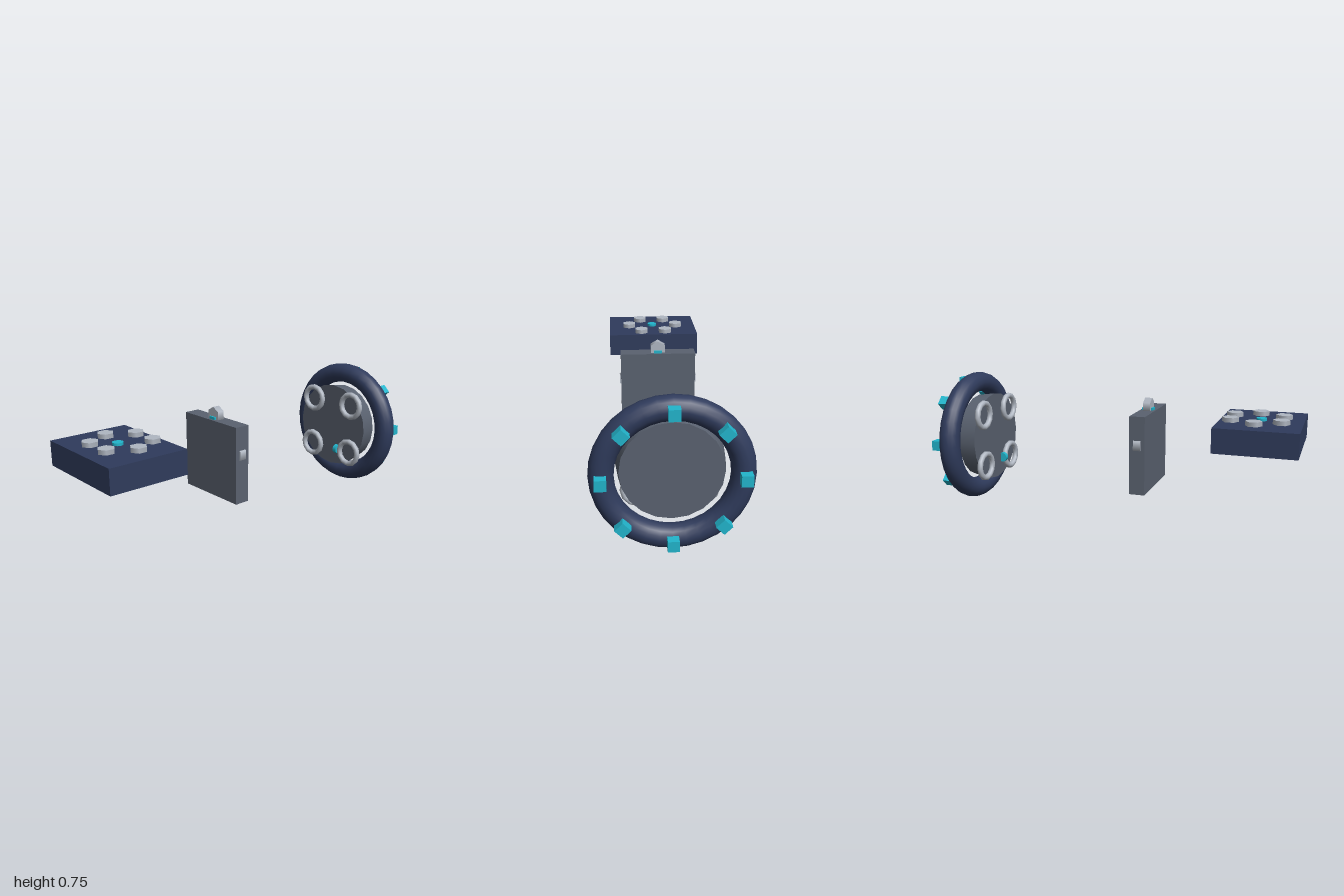
import * as THREE from 'three';

const material = (color) => new THREE.MeshStandardMaterial({ color });

export function createModel() {
  const model = new THREE.Group();
  const navy = material(0x2f3b5c), slate = material(0x5a6270);
  const silver = material(0xb0b7c2), cyan = material(0x22b5cc);

  const add = (name, geometry, mat, x, y, z, parent = model) => {
    const mesh = new THREE.Mesh(geometry, mat);
    mesh.name = name;
    mesh.position.set(x, y, z);
    parent.add(mesh);
    return mesh;
  };
  const group = (name) => {
    const g = new THREE.Group();
    g.name = name;
    model.add(g);
    return g;
  };

  // Front block with a circle of hexagonal studs and a centre button
  const block = group('studdedBlock');
  add('blockBody', new THREE.BoxGeometry(0.552, 0.13, 0.428), navy, 0, 0.508, 0.786, block);
  const studGeo = new THREE.CylinderGeometry(0.044, 0.044, 0.044, 6);
  for (let i = 0; i < 6; i++) {
    const a = (i * Math.PI) / 3;
    add('stud', studGeo, silver, 0.15 * Math.cos(a), 0.575, 0.762 + 0.15 * Math.sin(a), block);
  }
  add('centreButton', new THREE.CylinderGeometry(0.028, 0.028, 0.03, 12), cyan, 0, 0.572, 0.783, block);

  // Upright plate with hexagonal lugs sunk into its top and sides
  const plate = group('uprightPlate');
  add('plateBody', new THREE.BoxGeometry(0.426, 0.426, 0.085), slate, 0, 0.38, 0.167, plate);
  const lugGeo = new THREE.CylinderGeometry(0.046, 0.046, 0.04, 6).rotateX(Math.PI / 2);
  for (const [x, y] of [[0, 0.614], [-0.181, 0.436], [0.181, 0.436]])
    add('hexLug', lugGeo, silver, x, y, 0.167, plate);
  add('lugPin', new THREE.BoxGeometry(0.044, 0.04, 0.06), cyan, 0, 0.587, 0.167, plate);

  // Rear ring with eight cubes on its back
  const cy = 0.378;
  const ring = group('rearRing');
  add('ringTube', new THREE.TorusGeometry(0.319, 0.058, 16, 32), navy, 0, cy, -0.902, ring);
  const cubeGeo = new THREE.BoxGeometry(0.054, 0.054, 0.054);
  for (let i = 0; i < 8; i++) {
    const a = (i * Math.PI) / 4;
    add('ringCube', cubeGeo, cyan, 0.32 * Math.cos(a), cy + 0.32 * Math.sin(a), -0.973, ring).rotation.z = a;
  }

  // Tapered disc inside the ring, with four small hoops and a half-sunk wheel
  const disc = group('hubDisc');
  const discGeo = new THREE.CylinderGeometry(0.255, 0.241, 0.105, 20).rotateX(Math.PI / 2);
  add('discBody', discGeo, slate, 0, cy + 0.002, -0.836, disc);
  const hoopGeo = new THREE.TorusGeometry(0.071, 0.0165, 10, 12);
  for (const x of [-0.15, 0.15])
    for (const y of [-0.15, 0.15]) add('hoop', hoopGeo, silver, x, cy + 0.002 + y, -0.774, disc);
  const wheelGeo = new THREE.CylinderGeometry(0.028, 0.028, 0.024, 12).rotateZ(Math.PI / 2);
  add('sunkWheel', wheelGeo, cyan, 0.057, 0.234, -0.774, disc);

  return model;
}
